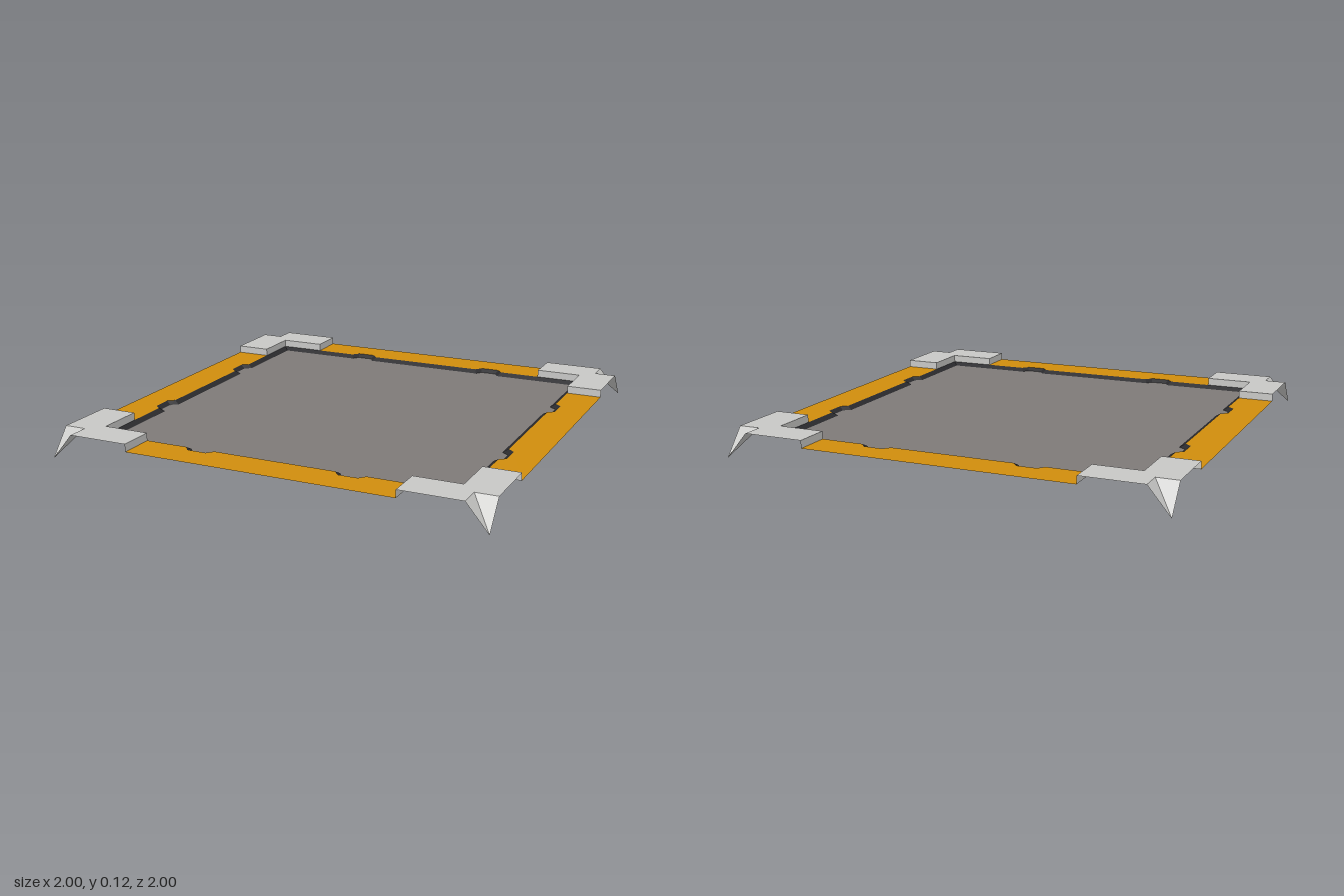
import * as THREE from 'three';

const material = (name, color) =>
  new THREE.MeshStandardMaterial({ name, color, side: THREE.DoubleSide, flatShading: true });

const FLOOR = 0.07, EDGE = 0.085, TOP = 0.12; // heights
const INNER = 0.835, ARM = 0.62, NOTCH = 0.9; // corner plate plan

// One side of the panel outline at z = r, with two trapezoid tabs
function sidePoints(r, depth, base, flat) {
  const pts = [[-r, r]];
  for (const c of [-0.353, 0.353]) {
    pts.push([c - base, r], [c - flat, r + depth], [c + flat, r + depth], [c + base, r]);
  }
  return pts;
}

// Repeats the side four times into a closed outline
function outline(side) {
  const all = [];
  let pts = side;
  for (let i = 0; i < 4; i++) {
    all.push(...pts);
    pts = pts.map(([x, z]) => [z, -x]);
  }
  return all;
}

// Horizontal plate from [x, z] points
function plate(points, y) {
  const shape = new THREE.Shape(points.map(([x, z]) => new THREE.Vector2(x, -z)));
  return new THREE.ShapeGeometry(shape).rotateX(-Math.PI / 2).translate(0, y, 0);
}

// Flat faces, each a triangle or quad of [x, y, z] corners
function faces(list) {
  const pos = [];
  for (const f of list) {
    for (let i = 1; i < f.length - 1; i++) pos.push(...f[0], ...f[i], ...f[i + 1]);
  }
  const geo = new THREE.BufferGeometry();
  geo.setAttribute('position', new THREE.Float32BufferAttribute(pos, 3));
  geo.computeVertexNormals();
  return geo;
}

export function createModel() {
  const group = new THREE.Group();
  group.name = 'floorTile';
  const floorGrey = material('floorGrey', 0x7e7a78);
  const rimBlack = material('rimBlack', 0x2a2a2d);
  const trimOrange = material('trimOrange', 0xd08d0d);
  const plateGrey = material('plateGrey', 0xc8c8c6);

  const add = (parent, name, geo, mat) => {
    const mesh = new THREE.Mesh(geo, mat);
    mesh.name = name;
    parent.add(mesh);
  };

  // Sunken panel and the sloped rim around it
  const outerSide = sidePoints(INNER, 0.03, 0.07, 0.045);
  const outer = outline(outerSide);
  const inner = outline(sidePoints(0.81, 0.032, 0.058, 0.036));
  add(group, 'floorPanel', plate(inner, FLOOR), floorGrey);
  const rim = outer.map(([x, z], i) => {
    const j = (i + 1) % outer.length;
    return [[x, EDGE, z], [outer[j][0], EDGE, outer[j][1]],
      [inner[j][0], FLOOR, inner[j][1]], [inner[i][0], FLOOR, inner[i][1]]];
  });
  add(group, 'rim', faces(rim), rimBlack);

  // Trim strip follows the tabs on its inner edge
  const strip = plate([[-ARM, INNER], ...outerSide.slice(1), [ARM, INNER], [ARM, 1], [-ARM, 1]], EDGE);

  // Raised L-shaped corner with walls on its inner edges and arm ends
  const wallPath = [[ARM, 1], [ARM, INNER], [INNER, INNER], [INNER, ARM], [1, ARM]];
  const cornerTop = plate([[NOTCH, 1], ...wallPath, [1, NOTCH], [NOTCH, NOTCH]], TOP);
  const walls = faces(wallPath.slice(1).map(([x, z], i) => {
    const [px, pz] = wallPath[i];
    return [[px, TOP, pz], [x, TOP, z], [x, EDGE, z], [px, EDGE, pz]];
  }));

  // Folded foot running down to the outer corner
  const fold = [NOTCH, TOP, NOTCH], tip = [1, 0, 1];
  const foot = faces([
    [fold, [NOTCH, TOP, 1], tip],
    [fold, tip, [1, TOP, NOTCH]],
  ]);

  for (let i = 0; i < 4; i++) {
    const quarter = new THREE.Group();
    quarter.name = 'sideAndCorner' + (i + 1);
    quarter.rotation.y = i * Math.PI / 2;
    add(quarter, 'trimStrip', strip, trimOrange);
    add(quarter, 'cornerPlate', cornerTop, plateGrey);
    add(quarter, 'cornerWalls', walls, plateGrey);
    add(quarter, 'cornerFoot', foot, plateGrey);
    group.add(quarter);
  }
  return group;
}
